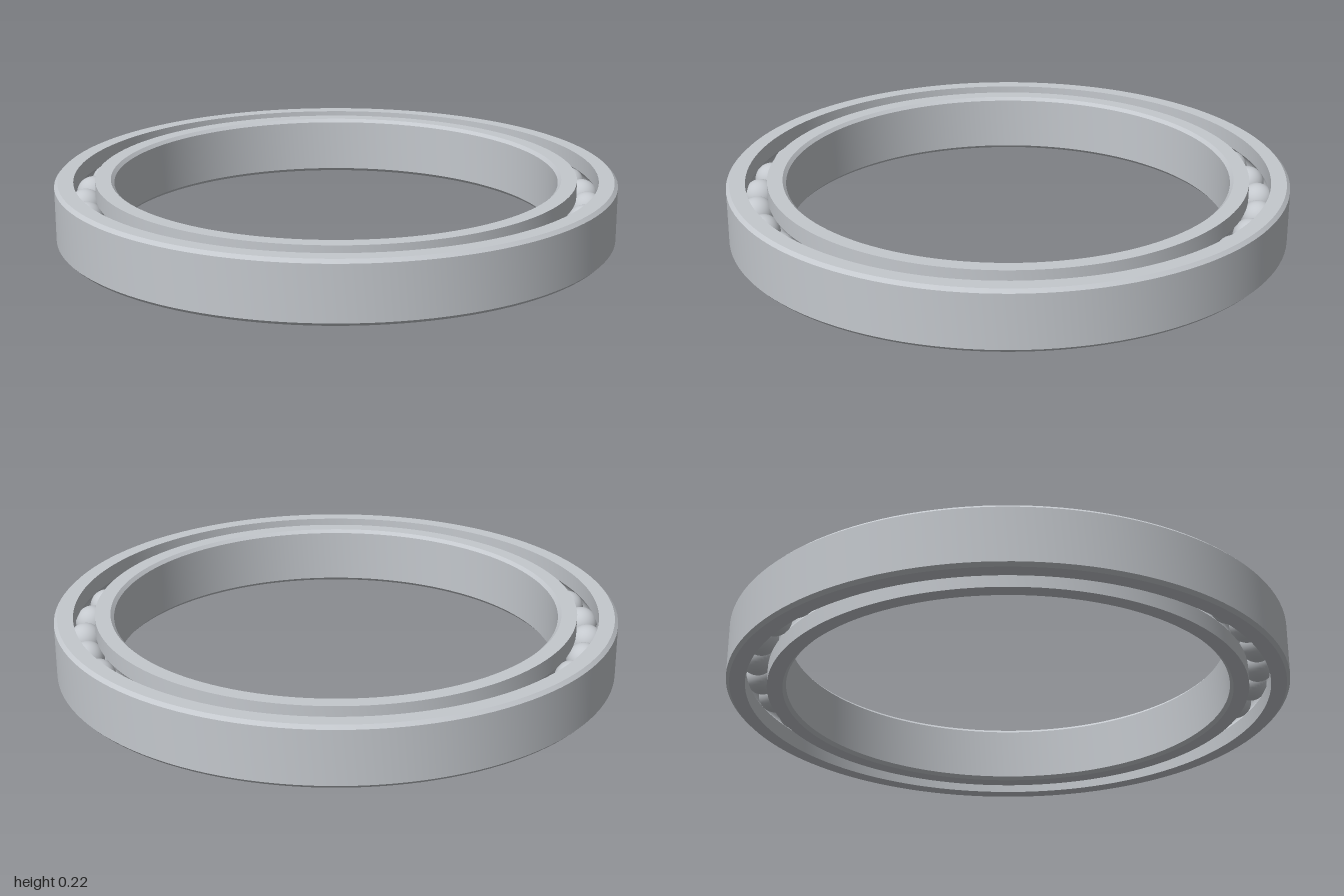
import * as THREE from 'three';
import { toCreasedNormals } from 'three/addons/utils/BufferGeometryUtils.js';

const HEIGHT = 0.216, MID = HEIGHT / 2, CHAMFER = 0.012;
const PITCH = 0.895, BALL = 0.06, BALL_COUNT = 34, GAP = 0.038;
const SEGMENTS = 128, GROOVE_STEPS = 12;

// Arc of the race groove, from bottom to top; side is +1 for the outer ring, -1 for the inner
function grooveArc(side) {
  const radius = BALL + 0.001, half = Math.acos(GAP / radius), points = [];
  for (let i = 0; i <= GROOVE_STEPS; i++) {
    const a = -half + (2 * half * i) / GROOVE_STEPS;
    points.push([PITCH + side * radius * Math.cos(a), MID + radius * Math.sin(a)]);
  }
  return points;
}

// Ring turned from a closed counter-clockwise (radius, height) profile
function ring(name, profile, material) {
  const points = [...profile, profile[0]].map(([r, y]) => new THREE.Vector2(r, y));
  const geometry = toCreasedNormals(new THREE.LatheGeometry(points, SEGMENTS), 0.5);
  const mesh = new THREE.Mesh(geometry, material);
  mesh.name = name;
  return mesh;
}

export function createModel() {
  const model = new THREE.Group();
  model.name = 'ballBearing';
  const steel = new THREE.MeshStandardMaterial({ color: 0xc4c8cd });
  steel.name = 'steel';

  // Outer ring: chamfered outside wall, groove on the inside
  const outerWall = PITCH + GAP, outer = 1;
  model.add(ring('outerRing', [
    [outerWall, 0], [outer - CHAMFER, 0], [outer, CHAMFER],
    [outer, HEIGHT - CHAMFER], [outer - CHAMFER, HEIGHT], [outerWall, HEIGHT],
    ...grooveArc(1).reverse(),
  ], steel));

  // Inner ring: chamfered bore, groove on the outside
  const innerWall = PITCH - GAP, bore = 0.79;
  model.add(ring('innerRing', [
    [innerWall, 0], ...grooveArc(-1), [innerWall, HEIGHT],
    [bore + CHAMFER, HEIGHT], [bore, HEIGHT - CHAMFER],
    [bore, CHAMFER], [bore + CHAMFER, 0],
  ], steel));

  // Balls evenly spaced between the rings
  const balls = new THREE.Group();
  balls.name = 'balls';
  const ballGeometry = new THREE.SphereGeometry(BALL, 32, 20);
  for (let i = 0; i < BALL_COUNT; i++) {
    const a = (i / BALL_COUNT) * Math.PI * 2;
    const ball = new THREE.Mesh(ballGeometry, steel);
    ball.name = 'ball';
    ball.position.set(PITCH * Math.cos(a), MID, PITCH * Math.sin(a));
    balls.add(ball);
  }
  model.add(balls);
  return model;
}
